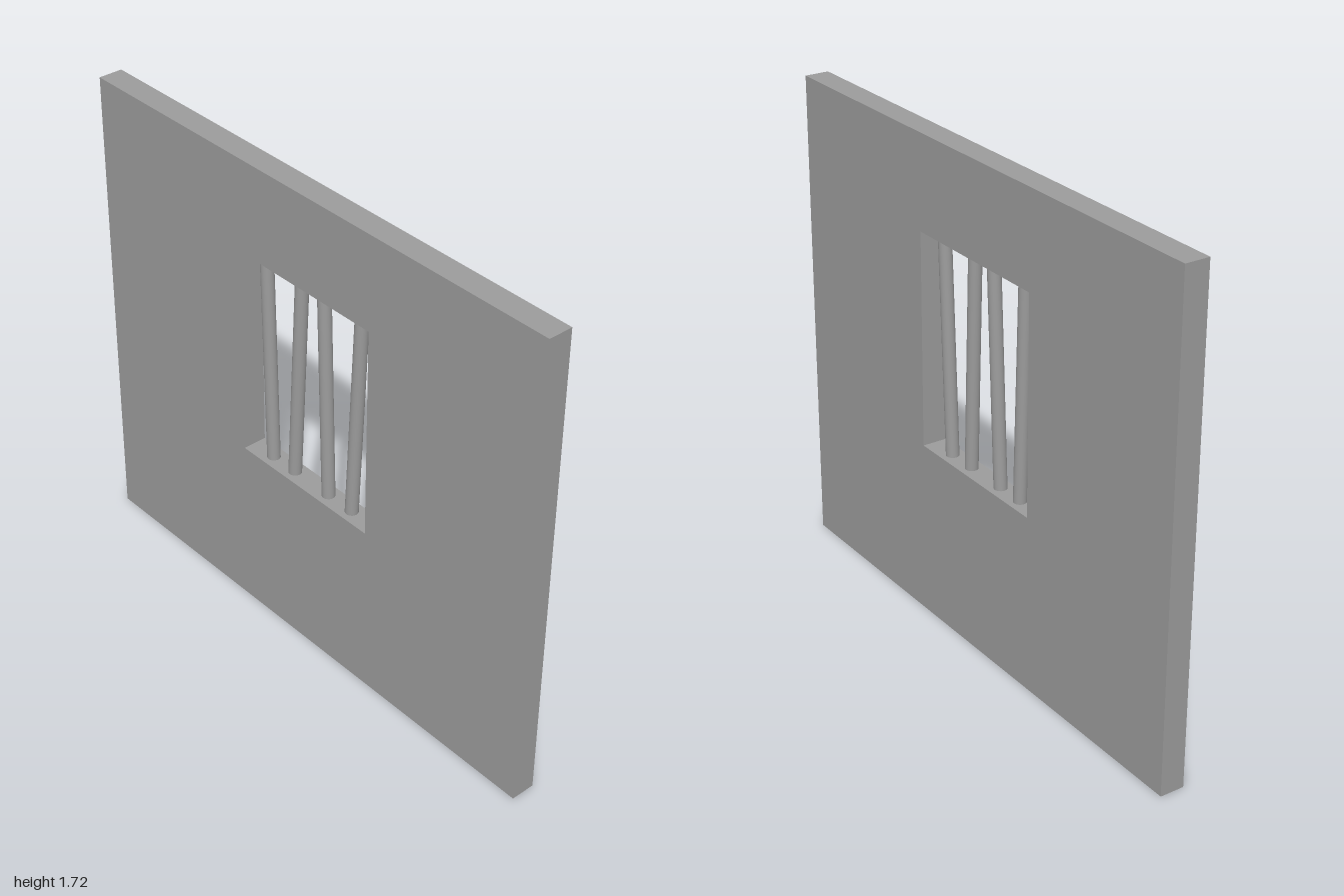
import * as THREE from 'three';

const WIDTH = 2, HEIGHT = 1.715, DEPTH = 0.086;
const OPENING = { half: 0.297, bottom: 0.628, top: 1.386 };
const BAR_RADIUS = 0.0225;

export function createModel() {
  const model = new THREE.Group();
  model.name = 'barredWindowWall';
  const material = new THREE.MeshStandardMaterial({ color: 0x9b9b9b });

  // Wall slab with a rectangular window opening
  const outline = new THREE.Shape([
    new THREE.Vector2(-WIDTH / 2, 0), new THREE.Vector2(WIDTH / 2, 0),
    new THREE.Vector2(WIDTH / 2, HEIGHT), new THREE.Vector2(-WIDTH / 2, HEIGHT),
  ]);
  const { half, bottom, top } = OPENING;
  outline.holes.push(new THREE.Path([
    new THREE.Vector2(-half, bottom), new THREE.Vector2(-half, top),
    new THREE.Vector2(half, top), new THREE.Vector2(half, bottom),
  ]));
  const wallGeometry = new THREE.ExtrudeGeometry(outline, { depth: DEPTH, bevelEnabled: false });
  wallGeometry.translate(0, 0, -DEPTH / 2);
  const wall = new THREE.Mesh(wallGeometry, material);
  wall.name = 'wall';
  model.add(wall);

  // Crooked window bars: [x at the sill, x at the lintel], ends set slightly into the wall
  const bars = new THREE.Group();
  bars.name = 'windowBars';
  const up = new THREE.Vector3(0, 1, 0);
  const barEnds = [[-0.198, -0.219], [-0.09, -0.051], [0.075, 0.051], [0.187, 0.222]];
  barEnds.forEach(([x0, x1], i) => {
    const axis = new THREE.Vector3(x1 - x0, top - bottom, 0);
    const bar = new THREE.Mesh(
      new THREE.CylinderGeometry(BAR_RADIUS, BAR_RADIUS, axis.length() + 0.01, 24), material);
    bar.position.set((x0 + x1) / 2, (bottom + top) / 2, 0);
    bar.quaternion.setFromUnitVectors(up, axis.normalize());
    bar.name = `bar${i + 1}`;
    bars.add(bar);
  });
  model.add(bars);

  return model;
}
